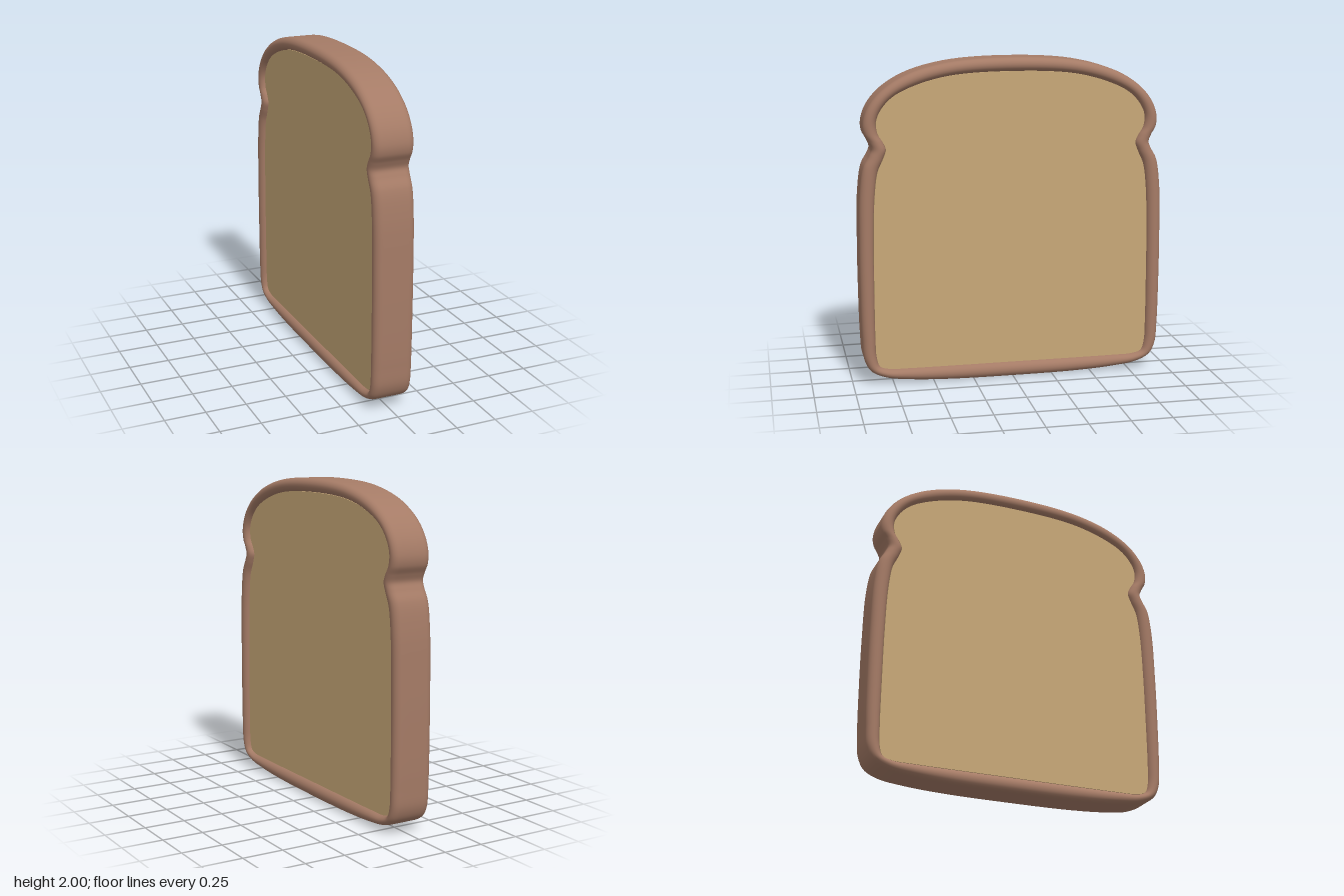
import * as THREE from 'three';

// Half outlines from bottom centre to top centre: [outer z, outer y, inner z, inner y]
const HALF = [
  [0, 0.003, 0, 0.095], [0.4, 0.007, 0.4, 0.095], [0.65, 0.022, 0.65, 0.096],
  [0.8, 0.045, 0.78, 0.1], [0.89, 0.09, 0.835, 0.12], [0.928, 0.16, 0.855, 0.18],
  [0.94, 0.3, 0.86, 0.3], [0.945, 0.6, 0.86, 0.6], [0.944, 0.9, 0.857, 0.9],
  [0.935, 1.2, 0.846, 1.18], [0.91, 1.36, 0.825, 1.33], [0.875, 1.425, 0.79, 1.41],
  [0.86, 1.465, 0.773, 1.465], [0.875, 1.51, 0.79, 1.51], [0.902, 1.56, 0.82, 1.56],
  [0.908, 1.62, 0.828, 1.63], [0.88, 1.71, 0.8, 1.7], [0.8, 1.81, 0.73, 1.775],
  [0.65, 1.905, 0.6, 1.84], [0.4, 1.975, 0.38, 1.897], [0, 2, 0, 1.917],
];
const STEPS = 320;

// Closed smooth loop through one half outline and its mirror image
function outline(column) {
  const half = HALF.map((p) => new THREE.Vector3(0, p[column + 1], p[column]));
  const mirrored = half.slice(1, -1).reverse().map((p) => new THREE.Vector3(0, p.y, -p.z));
  const curve = new THREE.CatmullRomCurve3([...half, ...mirrored], true);
  return Array.from({ length: STEPS }, (_, i) => curve.getPoint(i / STEPS));
}

// Rounded rim skinned between the outer and inner outlines
function crustGeometry(outer, inner) {
  const profile = []; // [inward fraction, x]
  const arc = 10;
  for (let k = 0; k <= arc; k++) {
    const a = Math.PI * (1 - k / arc);
    profile.push([0.5 - 0.5 * Math.cos(a), -0.08 - 0.045 * Math.sin(a)]);
  }
  profile.push([0, -0.03], [0, 0.03]);
  for (let k = 0; k <= arc; k++) {
    const a = (Math.PI * k) / arc;
    profile.push([0.5 - 0.5 * Math.cos(a), 0.08 + 0.045 * Math.sin(a)]);
  }
  const positions = [];
  const index = [];
  const n = profile.length;
  for (let i = 0; i < STEPS; i++) {
    for (const [u, x] of profile) {
      const p = outer[i].clone().lerp(inner[i], u);
      positions.push(x, p.y, p.z);
    }
    const next = (i + 1) % STEPS;
    for (let j = 0; j < n - 1; j++) {
      const a = i * n + j;
      const c = next * n + j;
      index.push(a, a + 1, c, a + 1, c + 1, c);
    }
  }
  const geometry = new THREE.BufferGeometry();
  geometry.setAttribute('position', new THREE.Float32BufferAttribute(positions, 3));
  geometry.setIndex(index);
  geometry.computeVertexNormals();
  return geometry;
}

export function createModel() {
  const group = new THREE.Group();
  group.name = 'breadSlice';
  const outer = outline(0);
  const inner = outline(2);

  // Crust
  const crust = new THREE.Mesh(
    crustGeometry(outer, inner),
    new THREE.MeshStandardMaterial({ color: 0xa57b66 })
  );
  crust.name = 'crust';
  group.add(crust);

  // Flat crumb filling, slightly recessed on both faces
  const shape = new THREE.Shape(inner.map((p) => new THREE.Vector2(p.z, p.y)));
  const crumbGeometry = new THREE.ExtrudeGeometry(shape, { depth: 0.19, bevelEnabled: false });
  crumbGeometry.translate(0, 0, -0.095).rotateY(Math.PI / 2);
  const crumb = new THREE.Mesh(
    crumbGeometry,
    new THREE.MeshStandardMaterial({ color: 0xc8a878 })
  );
  crumb.name = 'crumb';
  group.add(crumb);

  return group;
}
